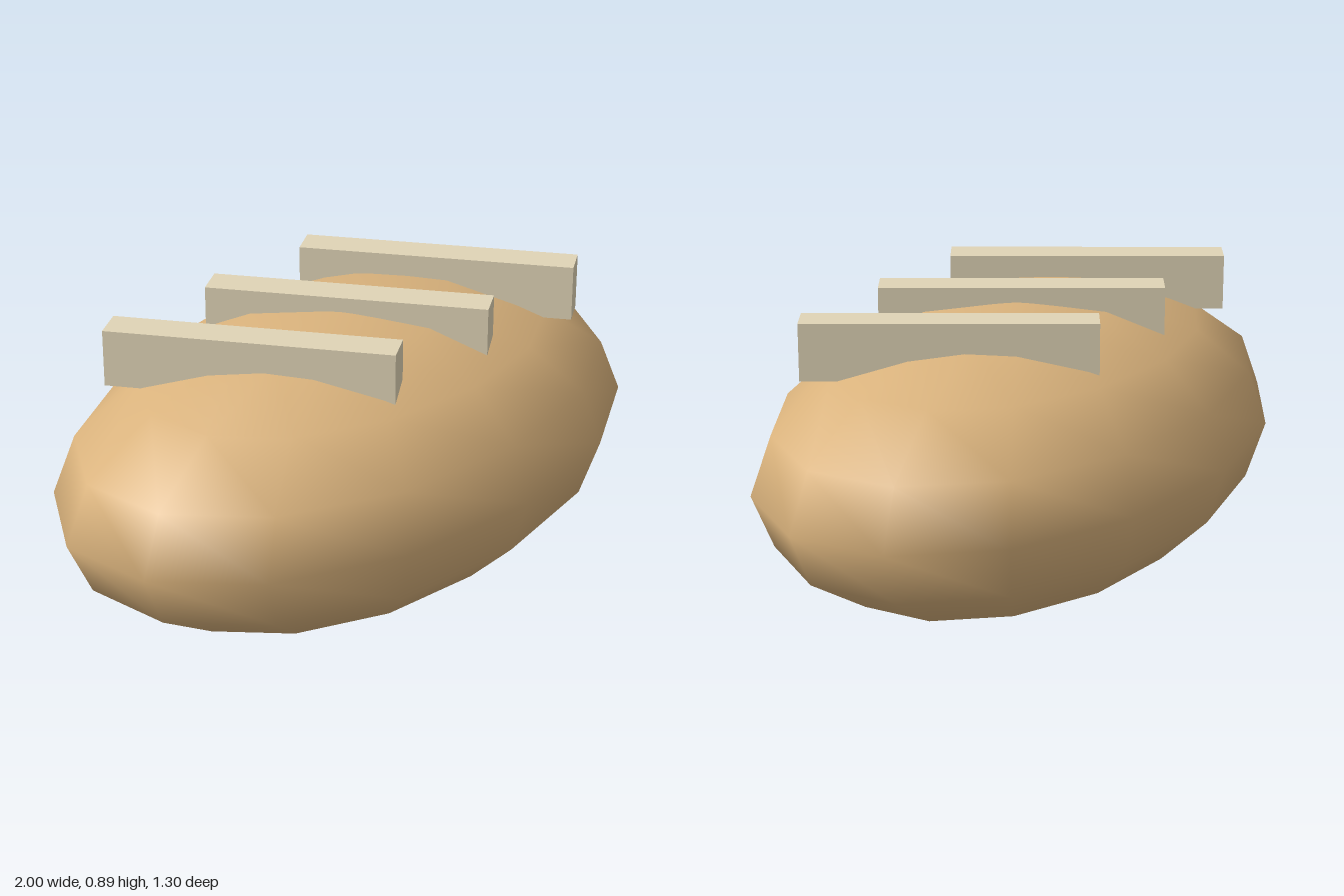
import * as THREE from 'three';

export function createModel() {
  const model = new THREE.Group();
  const crust = new THREE.MeshStandardMaterial({ color: 0xd9b27c });
  crust.name = 'crust tan';
  const cream = new THREE.MeshStandardMaterial({ color: 0xe0d4b6 });
  cream.name = 'score cream';

  // Squashed oval loaf, few sides but smooth shading
  const loafShape = new THREE.SphereGeometry(1, 14, 8, Math.PI / 2);
  loafShape.scale(1.026, 0.425, 0.65);
  const loaf = new THREE.Mesh(loafShape, crust);
  loaf.name = 'loaf';
  loaf.position.y = 0.427;
  model.add(loaf);

  // Three slanted score bars across the top
  const barShape = new THREE.BoxGeometry(0.108, 0.164, 0.82);
  [-0.41, 0, 0.41].forEach((x, i) => {
    const bar = new THREE.Mesh(barShape, cream);
    bar.name = `scoreBar${i + 1}`;
    bar.position.set(x, 0.808, 0);
    bar.rotation.y = 0.5;
    model.add(bar);
  });

  return model;
}
